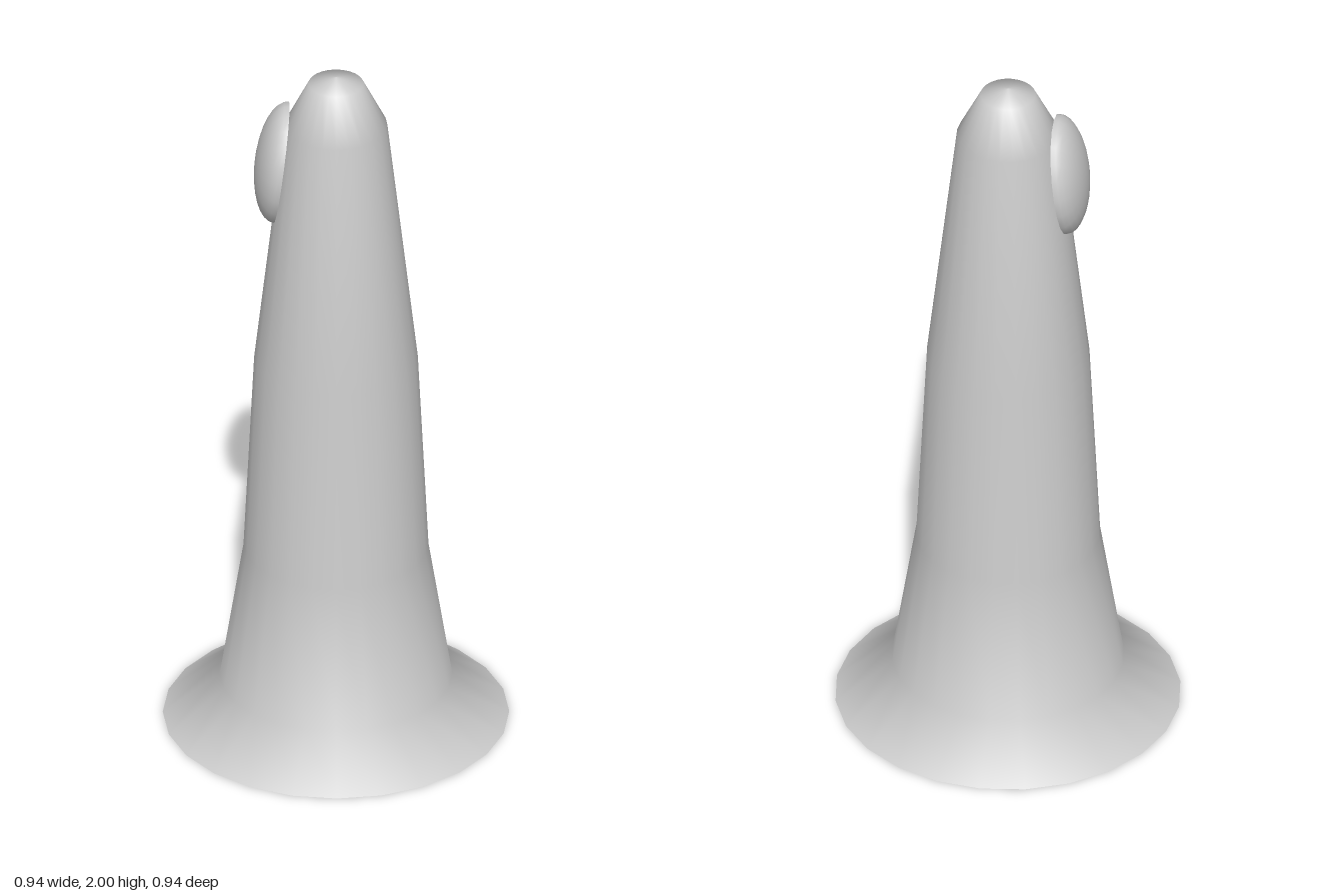
import * as THREE from 'three';

export function createModel() {
  const group = new THREE.Group();
  const material = new THREE.MeshStandardMaterial({ color: 0xcccccc });
  const add = (name, geometry, parent = group) => {
    const mesh = new THREE.Mesh(geometry, material);
    mesh.name = name;
    parent.add(mesh);
    return mesh;
  };

  // Tapering column with a flared foot and a rounded tip
  const profile = [
    [0.472, 0], [0.317, 0.12], [0.252, 0.53], [0.223, 1.12],
    [0.14, 1.85], [0.075, 1.98], [0, 2],
  ].map(([r, y]) => new THREE.Vector2(r, y));
  add('column', new THREE.LatheGeometry(profile, 24));

  // Flat underside
  add('underside', new THREE.CircleGeometry(0.472, 24).rotateX(Math.PI / 2));

  // Oval domed button leaning with the column's right side
  const button = new THREE.Group();
  button.name = 'button';
  button.position.set(-0.149, 1.732, 0);
  button.rotation.z = Math.PI / 2 - 0.128;
  button.scale.set(0.177, 0.072, 0.137);
  group.add(button);
  add('buttonDome', new THREE.SphereGeometry(1, 20, 8, 0, Math.PI * 2, 0, Math.PI / 2), button);
  add('buttonBack', new THREE.CircleGeometry(1, 20).rotateX(Math.PI / 2), button);

  return group;
}
